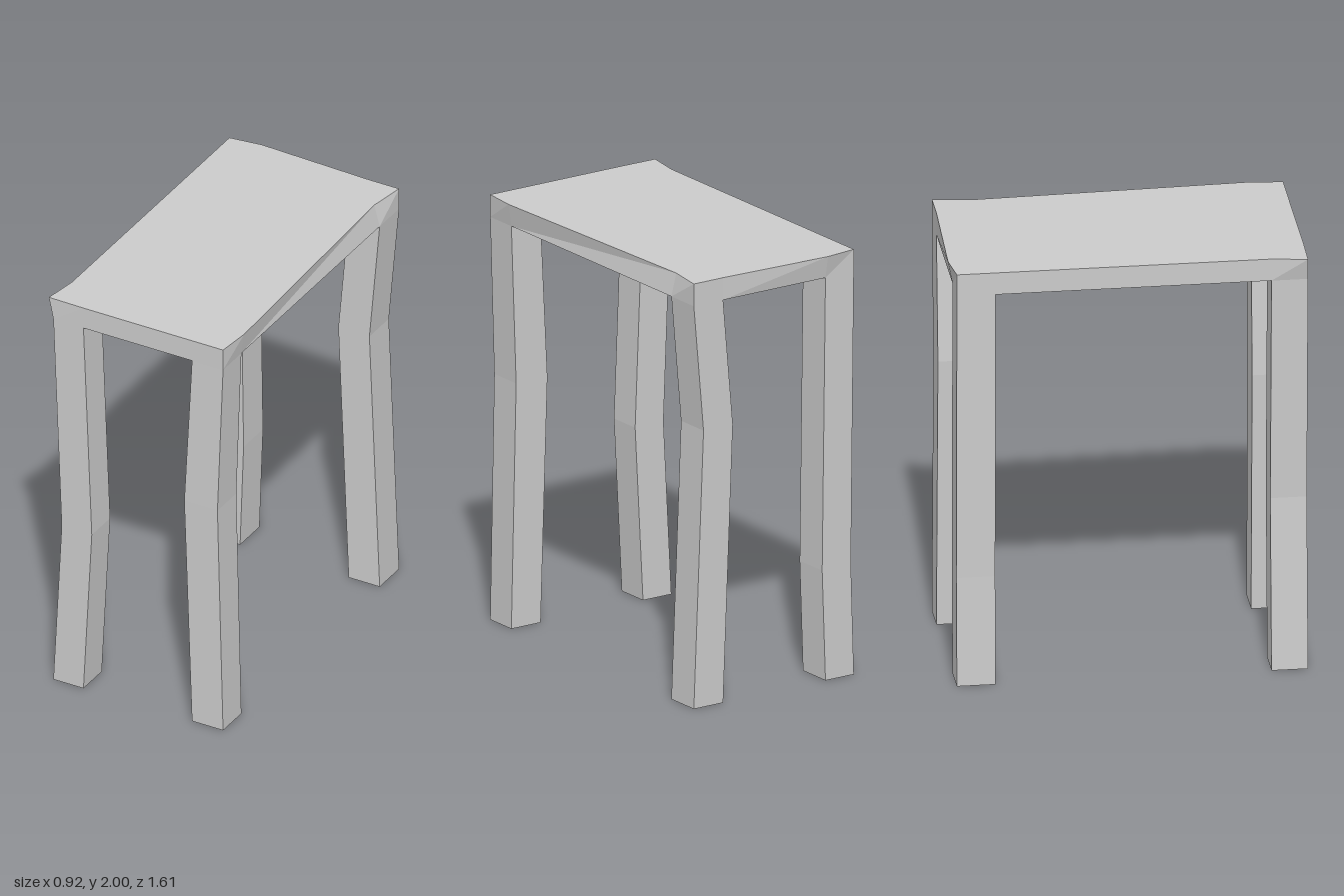
import * as THREE from 'three';

const material = new THREE.MeshStandardMaterial({ color: 0xcccccc, flatShading: true });
const TOP = 2, UNDER = 1.895;

// Closed solid through horizontal rings, listed bottom to top.
// Each ring is { y, pts: [[x, z], ...] }, counter-clockwise from above.
function loft(name, rings) {
  const pos = [];
  const tri = (...corners) => corners.forEach((c) => pos.push(...c));
  const loops = rings.map(({ y, pts }) => pts.map(([x, z]) => [x, y, z]));
  const n = loops[0].length;
  const centre = (loop) => [0, 1, 2].map((k) => loop.reduce((s, p) => s + p[k], 0) / n);
  const bottom = loops[0], top = loops[loops.length - 1];
  const cb = centre(bottom), ct = centre(top);
  for (let i = 0; i < n; i++) {
    const j = (i + 1) % n;
    for (let r = 0; r + 1 < loops.length; r++) {
      const a = loops[r], b = loops[r + 1];
      tri(a[i], a[j], b[j]);
      tri(a[i], b[j], b[i]);
    }
    tri(cb, bottom[j], bottom[i]);
    tri(ct, top[i], top[j]);
  }
  const geometry = new THREE.BufferGeometry();
  geometry.setAttribute('position', new THREE.Float32BufferAttribute(pos, 3));
  geometry.computeVertexNormals();
  const mesh = new THREE.Mesh(geometry, material);
  mesh.name = name;
  return mesh;
}

const rect = (x0, x1, z0, z1) => [[x0, z0], [x0, z1], [x1, z1], [x1, z0]];

export function createModel() {
  const group = new THREE.Group();
  group.name = 'table';

  // Top board: straight lower edge, uneven upper edge
  const lower = [
    [-0.435, -0.785], [-0.435, -0.61], [-0.435, 0.635], [-0.435, 0.8],
    [-0.28, 0.8], [0.28, 0.8], [0.44, 0.8], [0.44, 0.635],
    [0.44, -0.61], [0.44, -0.785], [0.28, -0.785], [-0.28, -0.785],
  ];
  const upper = lower.map((p) => [...p]);
  upper[2] = [-0.435, 0.635];
  upper[3] = [-0.46, 0.797];
  upper[7] = [0.455, 0.635];
  upper[8] = [0.413, -0.61];
  upper[11] = [-0.28, -0.805];
  group.add(loft('tableTop', [{ y: UNDER, pts: lower }, { y: TOP, pts: upper }]));

  // Legs: square posts, each kinked inward at its own height
  const legs = [
    { name: 'frontRightLeg', x: [-0.435, -0.28], z: [0.635, 0.8], bendY: 0.82, bend: [0.043, 0.043], bulge: 0 },
    { name: 'frontLeftLeg', x: [0.28, 0.44], z: [0.635, 0.8], bendY: 1.15, bend: [-0.037, -0.026], bulge: 0.005 },
    { name: 'backRightLeg', x: [-0.435, -0.28], z: [-0.785, -0.61], bendY: 0.52, bend: [0.016, 0.018], bulge: 0 },
    { name: 'backLeftLeg', x: [0.28, 0.44], z: [-0.785, -0.61], bendY: 1.3, bend: [-0.053, -0.053], bulge: 0 },
  ];
  for (const { name, x, z, bendY, bend, bulge } of legs) {
    const end = rect(...x, ...z);
    const kink = rect(x[0] + bend[0], x[1] + bend[1], z[0], z[1] + bulge);
    group.add(loft(name, [{ y: 0, pts: end }, { y: bendY, pts: kink }, { y: UNDER, pts: end }]));
  }
  return group;
}
